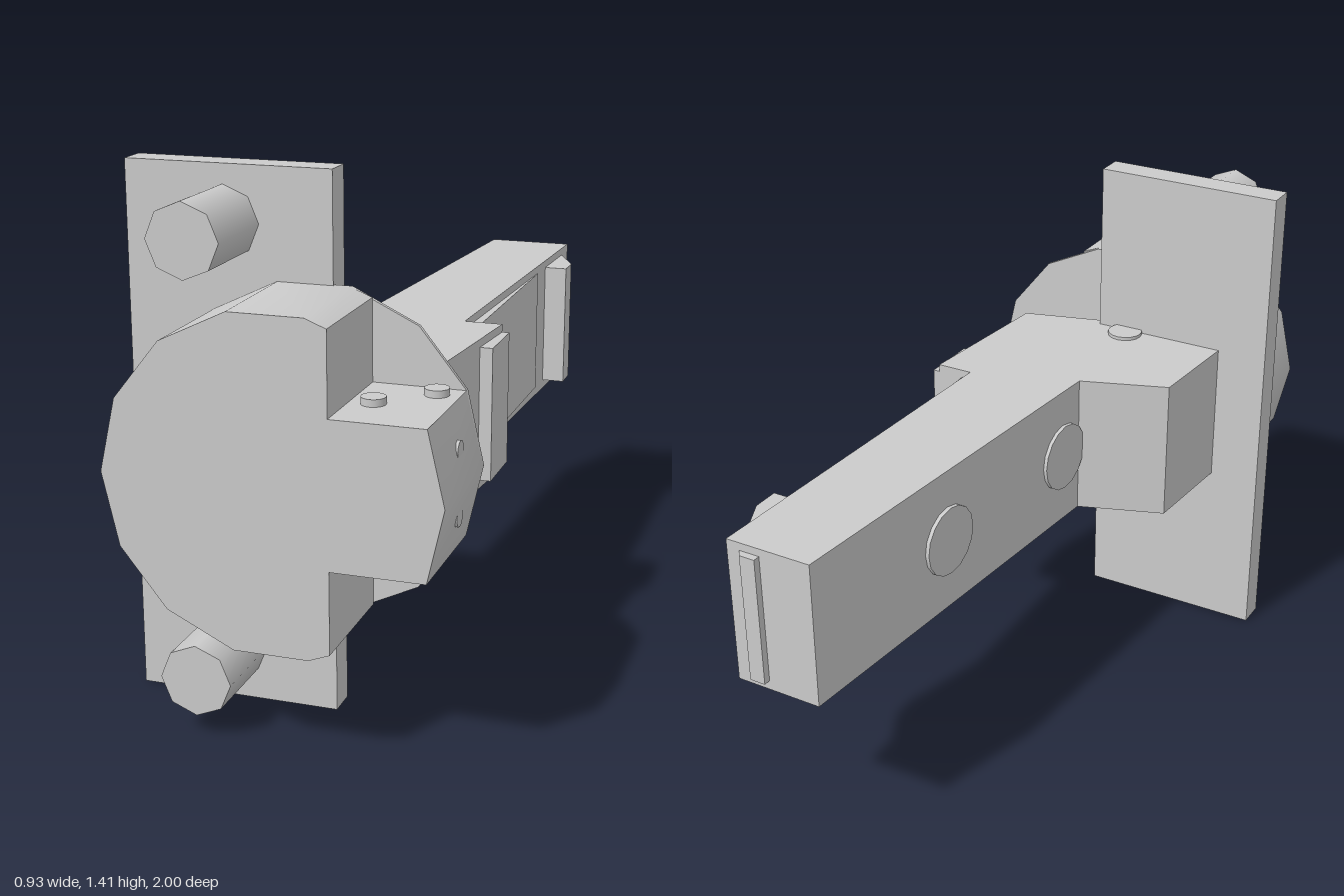
import * as THREE from 'three';
import { toCreasedNormals } from 'three/addons/utils/BufferGeometryUtils.js';

const material = new THREE.MeshStandardMaterial({ color: 0xcccccc });
const MID_Y = 0.707;

export function createModel() {
  const group = new THREE.Group();

  const add = (name, geometry, x = 0, y = 0, z = 0) => {
    const mesh = new THREE.Mesh(geometry, material);
    mesh.name = name;
    mesh.position.set(x, y, z);
    group.add(mesh);
    return mesh;
  };
  const extrude = (points, depth) => new THREE.ExtrudeGeometry(
    new THREE.Shape(points.map(([x, y]) => new THREE.Vector2(x, y))),
    { depth, bevelEnabled: false });
  // Prism with an [x, z] outline, standing between two heights
  const prism = (name, outline, y0, y1) => {
    const geometry = extrude(outline.map(([x, z]) => [x, -z]), y1 - y0);
    geometry.rotateX(-Math.PI / 2);
    return add(name, geometry, 0, y0, 0);
  };

  // Mounting plate and its two bolts
  add('mountingPlate', new THREE.BoxGeometry(0.545, 1.41, 0.08), -0.1925, 0.705, 0.64);
  for (const y of [0.15, 1.265]) {
    const bolt = new THREE.CylinderGeometry(0.094, 0.094, 0.25, 8);
    bolt.rotateX(Math.PI / 2);
    add('bolt', bolt, -0.205, y, 0.798);
  }

  // Fourteen-sided knob with two corners cut away to leave a tongue
  const rim = [];
  for (let i = 0; i < 14; i++) {
    const a = (i / 14) * Math.PI * 2;
    rim.push([0.03 + 0.43 * Math.cos(a), MID_Y + 0.43 * Math.sin(a)]);
  }
  const cut = [
    rim[0], rim[1], [0.18, rim[1][1]], [0.18, 1.105],
    ...rim.slice(3, 12),
    [0.18, 0.309], [0.18, rim[13][1]], rim[13],
  ];
  add('knob', toCreasedNormals(extrude(cut, 0.32), 0.6), 0, 0, 0.68);
  add('knobBackDisc', toCreasedNormals(extrude(rim, 0.012), 0.6), 0, 0, 0.668);

  // Pins through the tongue, showing above and below
  for (const [x, z] of [[0.24, 0.85], [0.36, 0.735]]) {
    add('tonguePin', new THREE.CylinderGeometry(0.031, 0.031, 0.41, 16), x, MID_Y, z);
  }
  // Pin ends just breaking through the rim
  for (const y of [0.625, 0.79]) {
    const pin = new THREE.CylinderGeometry(0.025, 0.025, 0.06, 12);
    pin.rotateZ(Math.PI / 2);
    add('rimPin', pin, 0.414, y, 0.82);
  }

  // Cranked arm
  prism('arm', [
    [0.04, -0.98], [0.288, -0.98], [0.25, 0.11], [0.355, 0.11], [0.316, 0.56],
    [0.08, 0.628], [-0.317, 0.605], [-0.296, 0.303], [-0.053, 0.215],
  ], 0.498, 0.914);

  // Raised details on the arm
  prism('sidePanel', [[0.26, -0.62], [0.277, -0.62], [0.277, 0.12], [0.24, 0.12]], 0.525, 0.892);
  prism('stopPad', [[0.26, 0.11], [0.375, 0.11], [0.375, 0.282], [0.26, 0.282]], 0.525, 0.892);
  prism('catch', [[0.26, -0.91], [0.285, -0.91], [0.345, -0.785], [0.345, -0.71], [0.26, -0.71]], 0.525, 0.892);
  prism('endRib', [[0.19, -0.97], [0.19, -1], [0.235, -1], [0.25, -0.98], [0.25, -0.97]], 0.525, 0.892);

  // Pivot pin through the arm
  add('pivotPin', new THREE.CylinderGeometry(0.051, 0.051, 0.434, 16), -0.02, MID_Y, 0.572);

  // Shallow round caps on the sloping side
  for (const [x, z] of [[-0.003, -0.43], [-0.046, 0.13]]) {
    const cap = new THREE.CylinderGeometry(0.1, 0.1, 0.022, 16);
    cap.rotateZ(Math.PI / 2);
    cap.rotateY(-0.078);
    add('sideCap', cap, x, MID_Y, z);
  }

  return group;
}
